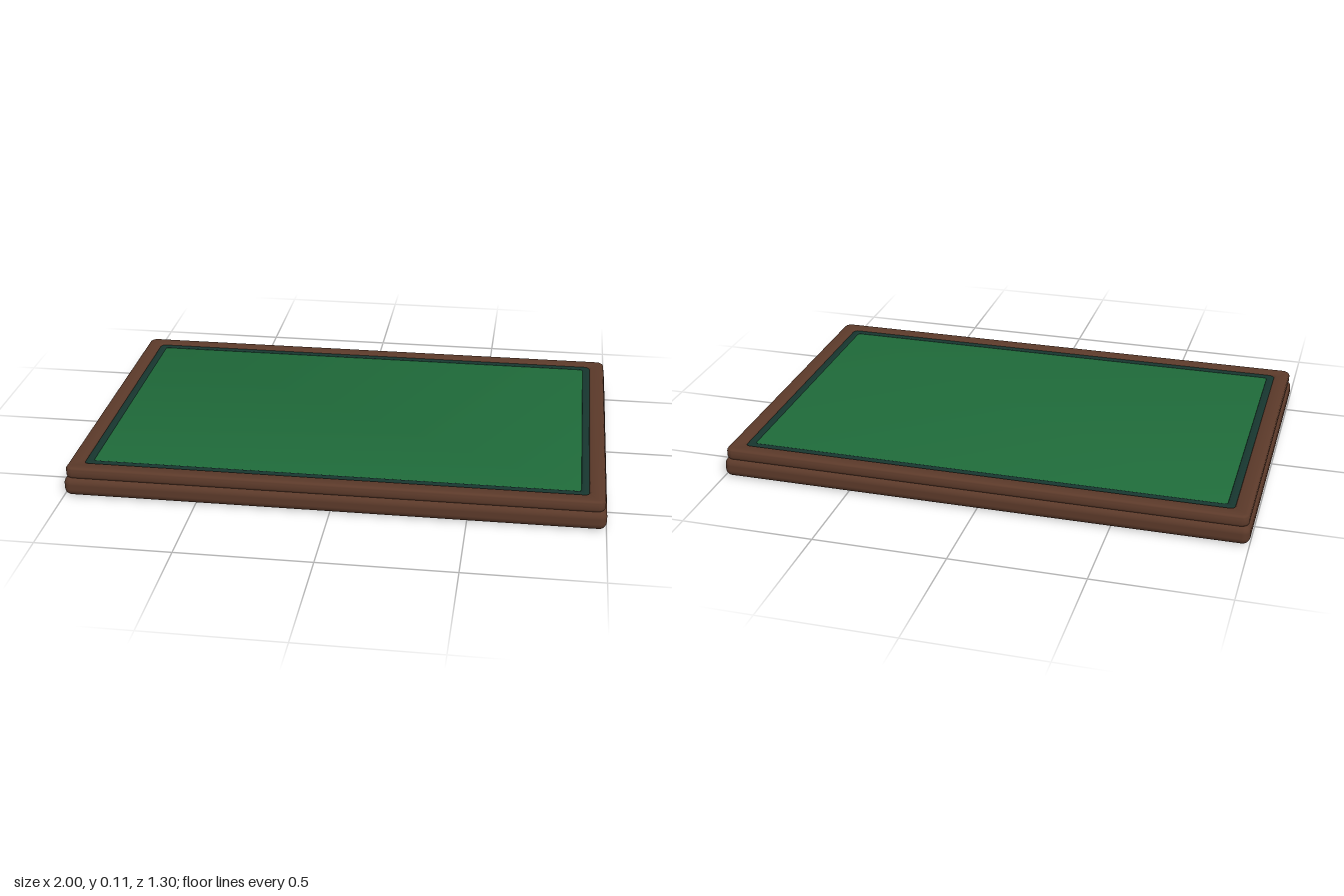
import * as THREE from 'three';
import { toCreasedNormals } from 'three/addons/utils/BufferGeometryUtils.js';
import { RoundedBoxGeometry } from 'three/addons/geometries/RoundedBoxGeometry.js';

const wood = new THREE.MeshStandardMaterial({ color: 0x5c3a2a, name: 'darkWood' });
const trim = new THREE.MeshStandardMaterial({ color: 0x17362f, name: 'darkTealTrim' });
const felt = new THREE.MeshStandardMaterial({ color: 0x1f6b3a, name: 'greenFelt' });

// Traces a rounded rectangle, given half sizes and corner radius
function roundedRect(path, x, z, r) {
  path.moveTo(-x + r, -z);
  path.lineTo(x - r, -z);
  path.absarc(x - r, -z + r, r, -Math.PI / 2, 0);
  path.lineTo(x, z - r);
  path.absarc(x - r, z - r, r, 0, Math.PI / 2);
  path.lineTo(-x + r, z);
  path.absarc(-x + r, z - r, r, Math.PI / 2, Math.PI);
  path.lineTo(-x, -z + r);
  path.absarc(-x + r, -z + r, r, Math.PI, Math.PI * 1.5);
  return path;
}

// Flat slab with softened edges from y0 to y1, optionally with an opening
function slab(name, material, outer, inner, y0, y1, bevel) {
  const [x, z, r] = outer;
  const shape = roundedRect(new THREE.Shape(), x - bevel, z - bevel, r - bevel);
  if (inner) {
    const [ix, iz, ir] = inner;
    shape.holes.push(roundedRect(new THREE.Path(), ix + bevel, iz + bevel, ir + bevel));
  }
  const extruded = new THREE.ExtrudeGeometry(shape, {
    depth: y1 - y0 - 2 * bevel, bevelThickness: bevel, bevelSize: bevel,
    bevelSegments: 4, curveSegments: 6,
  });
  extruded.rotateX(-Math.PI / 2).translate(0, y0 + bevel, 0);
  const mesh = new THREE.Mesh(toCreasedNormals(extruded, 0.7), material);
  mesh.name = name;
  return mesh;
}

export function createModel() {
  const model = new THREE.Group();
  model.name = 'feltTableTop';

  // Wooden base with fully rounded edges
  const base = new THREE.Mesh(new RoundedBoxGeometry(2, 0.075, 1.3, 5, 0.028), wood);
  base.name = 'base';
  base.position.y = 0.0375;
  model.add(base);

  // Raised rail, inlaid trim and playing surface
  model.add(
    slab('rail', wood, [0.993, 0.643, 0.03], [0.932, 0.582, 0.018], 0.07, 0.114, 0.013),
    slab('trim', trim, [0.935, 0.585, 0.022], [0.903, 0.553, 0.01], 0.07, 0.111, 0.008),
    slab('feltSurface', felt, [0.907, 0.557, 0.014], null, 0.07, 0.109, 0.006),
  );
  return model;
}
